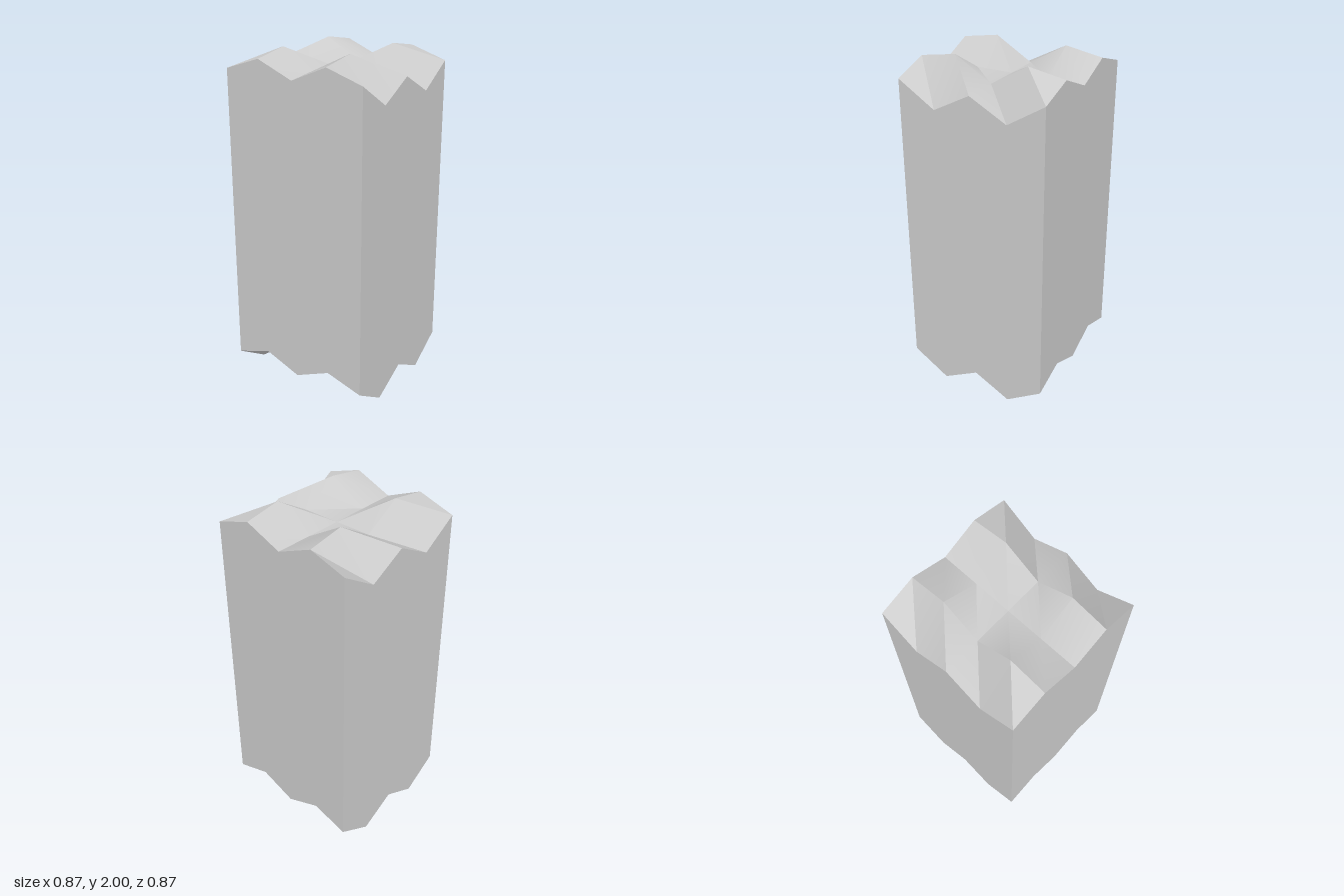
import * as THREE from 'three';
import { toCreasedNormals } from 'three/addons/utils/BufferGeometryUtils.js';

const HALF = 0.437;
const STEP = HALF / 2;
const THICKNESS = 1.757;

// Heights of the folded surface, one row per z step from back to front
const outerRow = [1.893, 1.963, 1.872, 1.963, 1.893];
const ridgeRow = [1.757, 2, 1.872, 2, 1.757];
const middleRow = [1.872, 1.872, 1.872, 1.872, 1.872];
const heights = [outerRow, ridgeRow, middleRow, ridgeRow, outerRow];

// Grid point on the folded surface, lowered by drop
const point = (ix, iz, drop) => [ix * STEP - HALF, heights[iz][ix] - drop, iz * STEP - HALF];

function fromTriangles(triangles) {
  const geometry = new THREE.BufferGeometry();
  geometry.setAttribute('position', new THREE.Float32BufferAttribute(triangles.flat(2), 3));
  geometry.computeVertexNormals();
  return geometry;
}

// Folded sheet of 4 x 4 cells, each split along the same diagonal
function foldedSheet(drop, facesDown) {
  const triangles = [];
  for (let iz = 0; iz < 4; iz++) {
    for (let ix = 0; ix < 4; ix++) {
      const a = point(ix, iz, drop);
      const b = point(ix, iz + 1, drop);
      const c = point(ix + 1, iz + 1, drop);
      const d = point(ix + 1, iz, drop);
      if (facesDown) triangles.push([a, d, b], [b, d, c]);
      else triangles.push([a, b, d], [b, c, d]);
    }
  }
  return toCreasedNormals(fromTriangles(triangles), 0.7);
}

// Flat wall between the two sheets; at(i) gives grid indices from left to right
function wall(at) {
  const triangles = [];
  for (let i = 0; i < 4; i++) {
    const bl = point(...at(i), THICKNESS);
    const br = point(...at(i + 1), THICKNESS);
    const tr = point(...at(i + 1), 0);
    const tl = point(...at(i), 0);
    triangles.push([bl, br, tr], [bl, tr, tl]);
  }
  return fromTriangles(triangles);
}

export function createModel() {
  const group = new THREE.Group();
  group.name = 'foldedBlock';
  const grey = new THREE.MeshStandardMaterial({ color: 0xcccccc });
  grey.name = 'grey';

  const add = (name, geometry) => {
    const mesh = new THREE.Mesh(geometry, grey);
    mesh.name = name;
    group.add(mesh);
  };

  // Matching zigzag ends
  add('topSurface', foldedSheet(0, false));
  add('bottomSurface', foldedSheet(THICKNESS, true));

  // Four upright sides
  add('frontWall', wall((i) => [i, 4]));
  add('leftWall', wall((i) => [4, 4 - i]));
  add('backWall', wall((i) => [4 - i, 0]));
  add('rightWall', wall((i) => [0, i]));

  return group;
}
